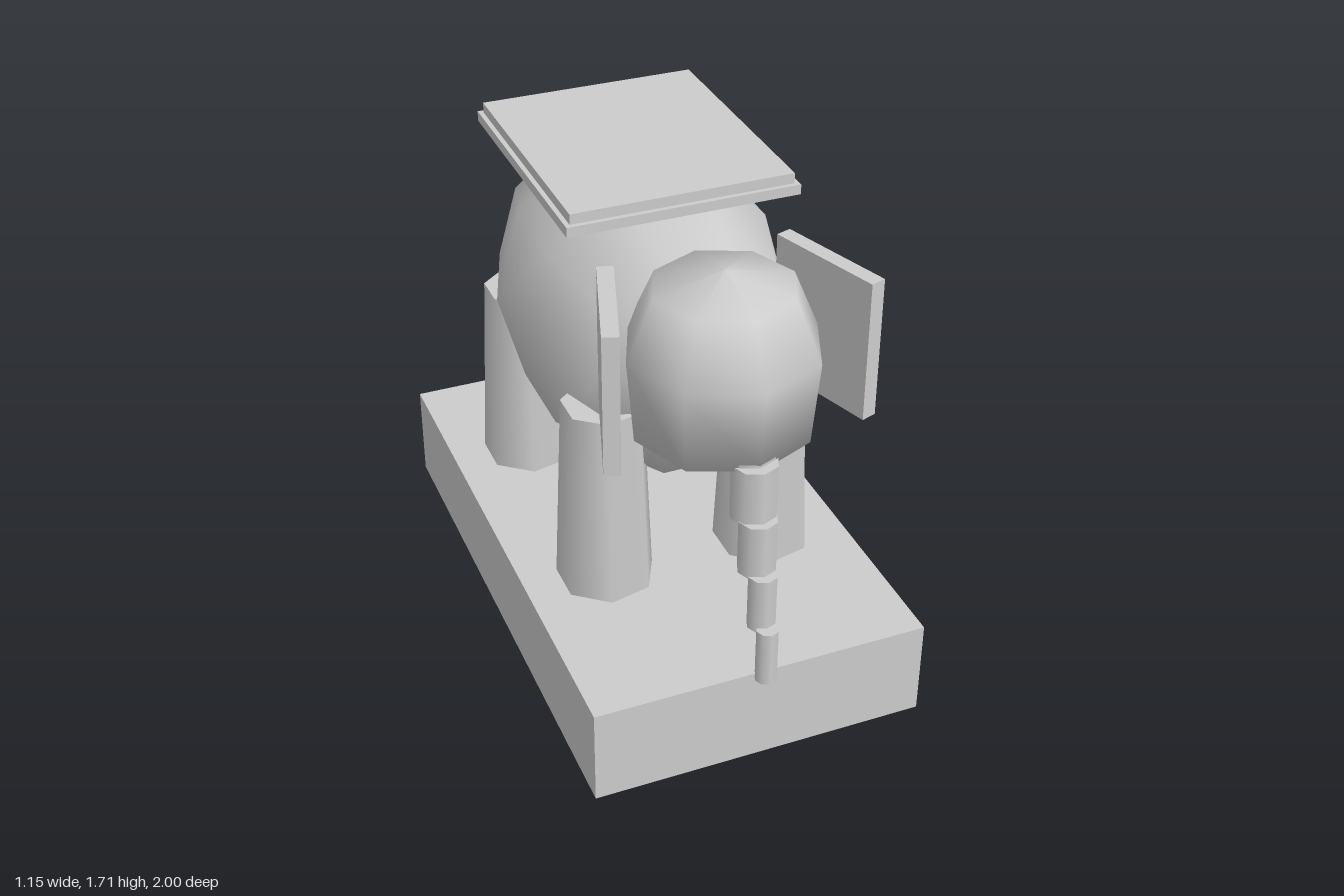
import * as THREE from 'three';

export function createModel() {
  const model = new THREE.Group();
  const grey = new THREE.MeshStandardMaterial({ color: 0xcccccc });
  grey.name = 'light grey';

  function add(name, geometry, x, y, z) {
    const mesh = new THREE.Mesh(geometry, grey);
    mesh.name = name;
    mesh.position.set(x, y, z);
    model.add(mesh);
    return mesh;
  }
  const lathe = (points, sides, start) =>
    new THREE.LatheGeometry(points.map(([r, h]) => new THREE.Vector2(r, h)), sides, start);

  // plinth
  add('base', new THREE.BoxGeometry(1.146, 0.345, 1.95), 0, 0.1725, -0.025);

  // barrel-shaped body, its axis running front to back
  const body = lathe([
    [0, -0.557], [0.41, -0.467], [0.537, -0.158],
    [0.537, 0.158], [0.41, 0.467], [0, 0.557],
  ], 10, Math.PI / 2);
  body.rotateX(Math.PI / 2);
  body.scale(0.857, 1, 1);
  body.computeVertexNormals();
  add('body', body, 0, 1.147, -0.098);

  // head, wider at the brow than the chin
  add('head', lathe([
    [0, 0.98], [0.292, 1.066], [0.316, 1.35], [0.23, 1.552], [0, 1.607],
  ], 8, 0), 0, 0, 0.577);

  // seven-sided tapered legs
  for (const z of [0.293, -0.51]) {
    for (const x of [-0.288, 0.288]) {
      const leg = new THREE.CylinderGeometry(0.138, 0.168, 0.69, 7, 1, false, Math.PI / 2);
      add(z > 0 ? 'frontLeg' : 'backLeg', leg, x, 0.69, z);
    }
  }

  // ears flare outwards towards the front
  for (const side of [-1, 1]) {
    const ear = add('ear', new THREE.BoxGeometry(0.053, 0.483, 0.411), side * 0.361, 1.321, 0.549);
    ear.rotation.y = side * 0.32;
  }

  // stepped trunk: radius, bottom, top, z
  const trunk = [
    [0.086, 1.07, 1.26, 0.785],
    [0.077, 0.885, 1.08, 0.827],
    [0.064, 0.7, 0.893, 0.866],
    [0.048, 0.513, 0.711, 0.914],
    [0.037, 0.33, 0.53, 0.963],
  ];
  for (const [r, bottom, top, z] of trunk) {
    add('trunkSegment', new THREE.CylinderGeometry(r, r, top - bottom, 8), 0, (top + bottom) / 2, z);
  }

  // two-layer platform on the back
  add('platformLower', new THREE.BoxGeometry(0.778, 0.034, 0.893), 0, 1.655, -0.169);
  add('platformUpper', new THREE.BoxGeometry(0.746, 0.036, 0.861), 0, 1.689, -0.169);

  return model;
}
